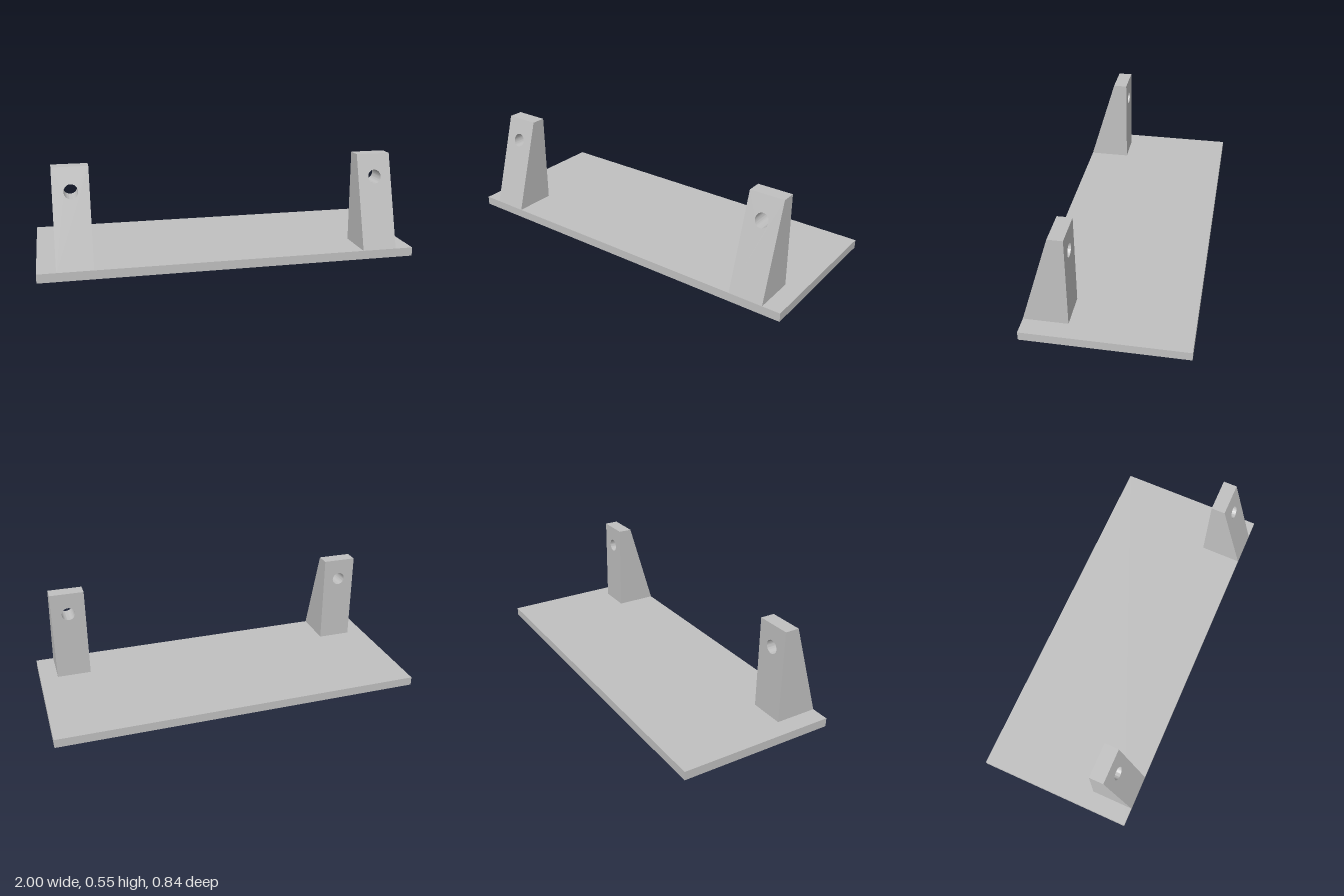
import * as THREE from 'three';
import { toCreasedNormals } from 'three/addons/utils/BufferGeometryUtils.js';

const PLATE_TOP = 0.047, TOP = 0.547;
const HALF_DEPTH = 0.422, BACK = 0.193, TOP_FRONT = 0.27;

// Upright lug: drilled front outline, extruded and sheared to a sloping front face
function lugGeometry() {
  const w = 0.093;
  const shape = new THREE.Shape();
  shape.moveTo(-w, PLATE_TOP);
  shape.lineTo(w, PLATE_TOP);
  shape.lineTo(w, TOP);
  shape.lineTo(-w, TOP);
  shape.closePath();
  const hole = new THREE.Path();
  hole.absarc(0, 0.427, 0.036, 0, Math.PI * 2, true);
  shape.holes.push(hole);

  const geo = new THREE.ExtrudeGeometry(shape, { depth: 1, bevelEnabled: false, curveSegments: 32 });
  const pos = geo.attributes.position;
  for (let i = 0; i < pos.count; i++) {
    const t = (pos.getY(i) - PLATE_TOP) / (TOP - PLATE_TOP);
    const front = THREE.MathUtils.lerp(HALF_DEPTH, TOP_FRONT, t);
    pos.setZ(i, THREE.MathUtils.lerp(BACK, front, pos.getZ(i)));
  }
  return toCreasedNormals(geo, Math.PI / 6);
}

export function createModel() {
  const group = new THREE.Group();
  group.name = 'mountingBracket';
  const grey = new THREE.MeshStandardMaterial({ color: 0xc0c0c0 });
  grey.name = 'light grey';

  // Flat base plate
  const plate = new THREE.Mesh(new THREE.BoxGeometry(2, PLATE_TOP, HALF_DEPTH * 2), grey);
  plate.position.y = PLATE_TOP / 2;
  plate.name = 'basePlate';
  group.add(plate);

  // A lug near each end of the front edge
  const geo = lugGeometry();
  for (const [name, side] of [['leftLug', 1], ['rightLug', -1]]) {
    const lug = new THREE.Mesh(geo, grey);
    lug.position.x = side * 0.81;
    lug.name = name;
    group.add(lug);
  }
  return group;
}
